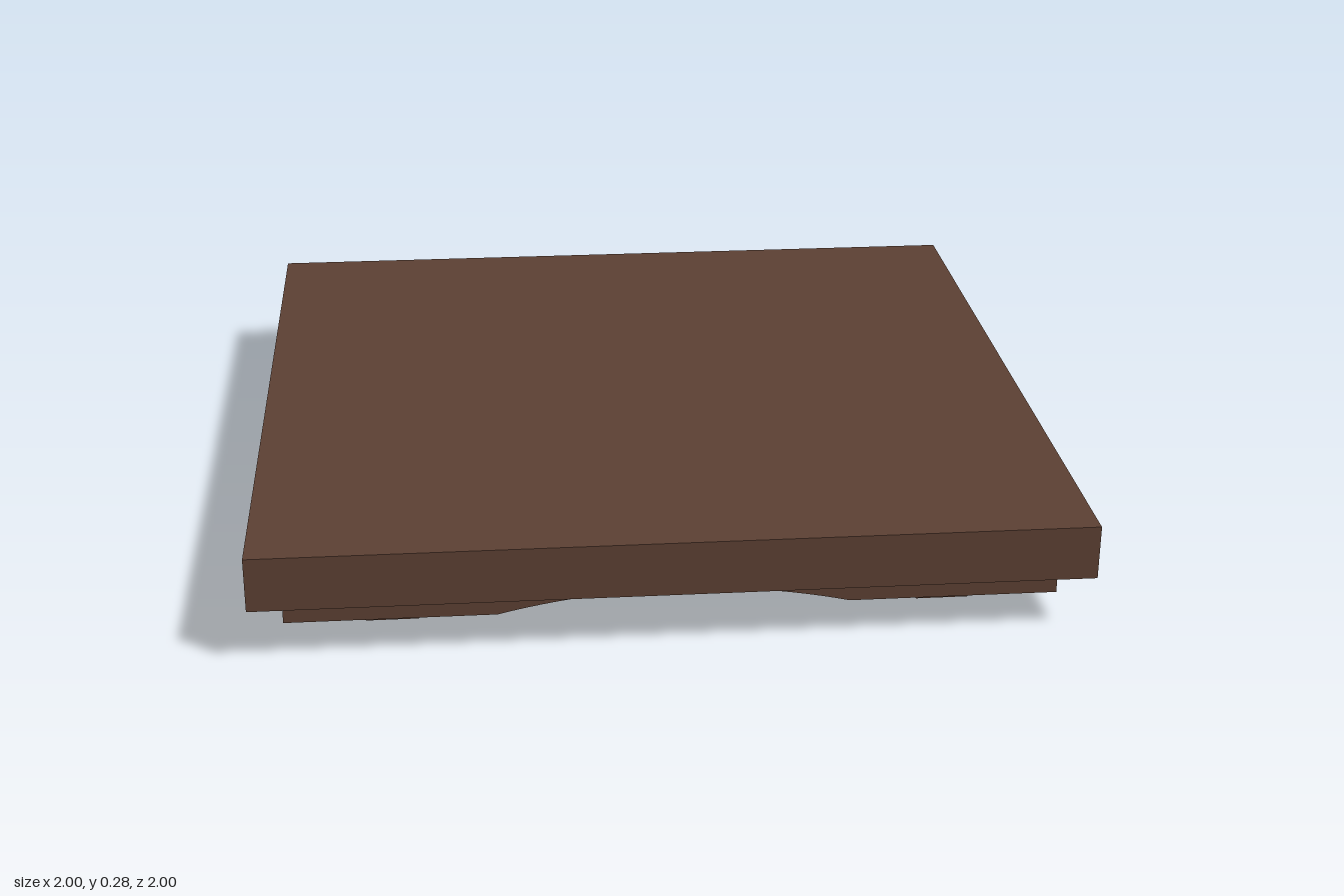
import * as THREE from 'three';

const wood = new THREE.MeshStandardMaterial({ color: 0x5c4033 });
const grey = new THREE.MeshStandardMaterial({ color: 0xcccccc });

// Arc of the arched underside
const HALF = 0.42, SPRING = 0.07, CROWN = 0.12;
const RISE = CROWN - SPRING;
const R = (HALF * HALF + RISE * RISE) / (2 * RISE);
const CY = CROWN - R;

// Extrude an x-y shape between two z values
function extrude(name, shape, z0, z1, material) {
  const geo = new THREE.ExtrudeGeometry(shape, { depth: z1 - z0, bevelEnabled: false, curveSegments: 24 });
  geo.translate(0, 0, z0);
  const mesh = new THREE.Mesh(geo, material);
  mesh.name = name;
  return mesh;
}

function polygon(points) {
  return new THREE.Shape(points.map(([x, y]) => new THREE.Vector2(x, y)));
}

// Lower plate profile with the shallow arch cut out
function plateShape() {
  const a = Math.asin(HALF / R);
  const s = polygon([[0.923, SPRING], [0.923, 0.14], [-0.923, 0.14], [-0.923, SPRING], [-HALF, SPRING]]);
  s.absarc(0, CY, R, Math.PI / 2 + a, Math.PI / 2 - a, true);
  return s;
}

// Thin curved band that lines the arch
function liningShape() {
  const a = Math.asin(0.362 / R);
  const s = new THREE.Shape();
  s.absarc(0, CY, R - 0.002, Math.PI / 2 + a, Math.PI / 2 - a, true);
  s.absarc(0, CY, R + 0.004, Math.PI / 2 - a, Math.PI / 2 + a, false);
  return s;
}

// Tapered foot with grey pads on its slopes and underside
function createFoot() {
  const foot = new THREE.Group();
  const zHalf = 0.144, padHalf = 0.112;
  const top = 0.133, bottom = 0.063, h = 0.07;
  foot.add(extrude('footBlock', polygon([[-bottom, 0.001], [bottom, 0.001], [top, h], [-top, h]]), -zHalf, zHalf, wood));

  const under = new THREE.Mesh(new THREE.BoxGeometry(0.1, 0.003, padHalf * 2), grey);
  under.name = 'footUnderPad';
  under.position.y = 0.0015;
  foot.add(under);

  const slope = Math.atan2(h, top - bottom);
  for (const side of [-1, 1]) {
    const pad = new THREE.Mesh(new THREE.BoxGeometry(0.074, 0.004, padHalf * 2), grey);
    pad.name = 'footSlopePad';
    pad.position.set(side * (top + bottom) / 2, 0.0355, 0);
    pad.rotation.z = side * slope;
    foot.add(pad);
  }
  return foot;
}

export function createModel() {
  const model = new THREE.Group();
  model.name = 'platform';

  // Top slab
  const slab = new THREE.Mesh(new THREE.BoxGeometry(2, 0.135, 2), wood);
  slab.name = 'topSlab';
  slab.position.y = 0.2075;
  model.add(slab);

  // Recessed lower plate
  model.add(extrude('lowerPlate', plateShape(), -0.93, 0.93, wood));

  // Arch lining: two wide panels and two narrow middle strips
  const lining = liningShape();
  for (const [z0, z1] of [[-0.84, -0.165], [-0.135, -0.015], [0.015, 0.135], [0.165, 0.84]]) {
    model.add(extrude('archPanel', lining, z0, z1, grey));
  }

  // Four feet
  for (const x of [-0.672, 0.672]) {
    for (const z of [-0.662, 0.662]) {
      const foot = createFoot();
      foot.name = `${z > 0 ? 'front' : 'back'}${x > 0 ? 'Left' : 'Right'}Foot`;
      foot.position.set(x, 0, z);
      model.add(foot);
    }
  }
  return model;
}
